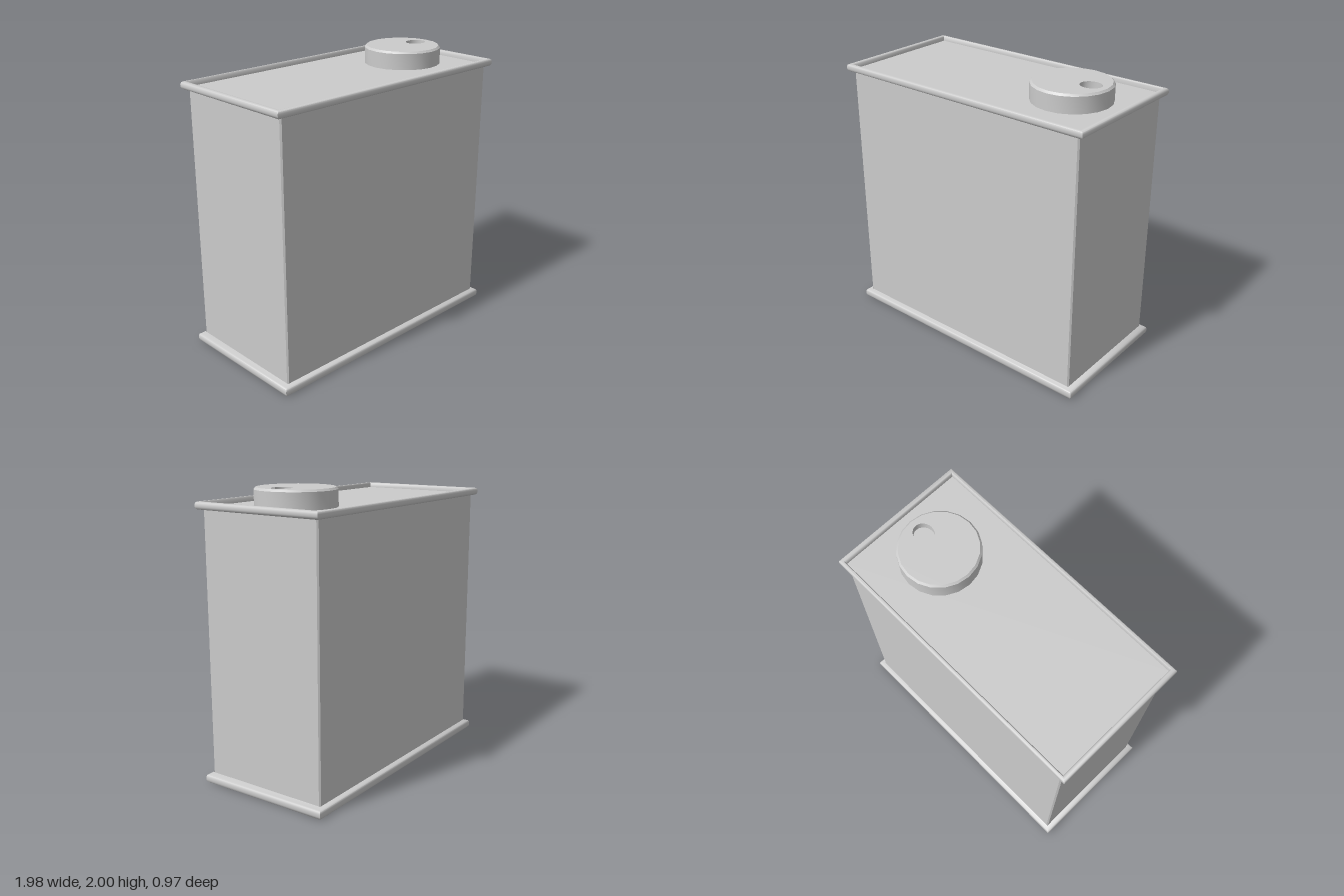
import * as THREE from 'three';
import { toCreasedNormals } from 'three/addons/utils/BufferGeometryUtils.js';

const material = new THREE.MeshStandardMaterial({ color: 0xcccccc, side: THREE.DoubleSide });
const HX = 0.95, HZ = 0.457; // half width and half depth of the can walls

function add(parent, name, geometry) {
  const mesh = new THREE.Mesh(geometry, material);
  mesh.name = name;
  parent.add(mesh);
  return mesh;
}

// Rectangular band with mitred corners; profile rows are [outward 0..1, height]
function rectangularBand(profile) {
  const positions = [];
  const corners = [[1, 1], [1, -1], [-1, -1], [-1, 1]];
  const point = ([out, y], [sx, sz]) => [sx * (HX + 0.042 * out), y, sz * (HZ + 0.03 * out)];
  for (let i = 0; i < profile.length - 1; i++) {
    for (let k = 0; k < 4; k++) {
      const a = point(profile[i], corners[k]);
      const b = point(profile[i], corners[(k + 1) % 4]);
      const c = point(profile[i + 1], corners[(k + 1) % 4]);
      const d = point(profile[i + 1], corners[k]);
      positions.push(...a, ...b, ...c, ...a, ...c, ...d);
    }
  }
  const geometry = new THREE.BufferGeometry();
  geometry.setAttribute('position', new THREE.Float32BufferAttribute(positions, 3));
  return toCreasedNormals(geometry, 0.85);
}

function panel(name, y, parent, up) {
  const mesh = add(parent, name, new THREE.PlaneGeometry(2 * HX + 0.01, 2 * HZ + 0.006));
  mesh.rotation.x = up ? -Math.PI / 2 : Math.PI / 2;
  mesh.position.y = y;
}

export function createModel() {
  const model = new THREE.Group();
  model.name = 'tinCan';

  // Walls with narrow bevelled vertical corners
  const b = 0.01;
  const outline = new THREE.Shape([
    [HX - b, -HZ], [HX, -HZ + b], [HX, HZ - b], [HX - b, HZ],
    [-HX + b, HZ], [-HX, HZ - b], [-HX, -HZ + b], [-HX + b, -HZ],
  ].map(([x, z]) => new THREE.Vector2(x, z)));
  const walls = new THREE.ExtrudeGeometry(outline, { depth: 1.855, bevelEnabled: false });
  walls.rotateX(-Math.PI / 2);
  add(model, 'body', walls).position.y = 0.015;

  // Rolled seams around the base and the top
  add(model, 'bottomSeam', rectangularBand([
    [0.1, 0], [0.65, 0], [0.9, 0.008], [1, 0.022], [1, 0.042], [0.88, 0.054], [0.6, 0.06], [0, 0.07],
  ]));
  add(model, 'topSeam', rectangularBand([
    [0, 1.86], [0.65, 1.86], [0.9, 1.867], [1, 1.878], [1, 1.892],
    [0.9, 1.904], [0.65, 1.91], [0.3, 1.91], [0.1, 1.902], [0.1, 1.872],
  ]));
  panel('topPanel', 1.874, model, true);
  panel('bottomPanel', 0, model, false);

  // Round screw cap with a chamfered edge and a finger hole
  const cap = new THREE.Group();
  cap.name = 'cap';
  cap.position.set(0.575, 1.87, 0);
  model.add(cap);
  const sides = 20, topRadius = 0.257, height = 0.13;
  const side = new THREE.LatheGeometry([
    new THREE.Vector2(0.27, 0), new THREE.Vector2(0.27, height - 0.014),
    new THREE.Vector2(topRadius, height),
  ], sides);
  add(cap, 'capSide', toCreasedNormals(side, 0.5));

  const ring = (r, n) => Array.from({ length: n }, (_, i) => {
    const a = (i / n) * Math.PI * 2;
    return new THREE.Vector2(r * Math.sin(a), r * Math.cos(a));
  });
  const holeX = 0.14, holeScaleX = 0.075, holeScaleZ = 0.066;
  const face = new THREE.Shape(ring(topRadius, sides));
  face.holes.push(new THREE.Path(ring(1, 24).map(
    (p) => new THREE.Vector2(holeX + p.x * holeScaleX, p.y * holeScaleZ))));
  const capTop = add(cap, 'capTop', new THREE.ShapeGeometry(face));
  capTop.rotation.x = -Math.PI / 2;
  capTop.position.y = height;

  // Recess beneath the hole
  const recess = new THREE.LatheGeometry([
    new THREE.Vector2(0, height - 0.05), new THREE.Vector2(1, height - 0.05),
    new THREE.Vector2(1, height),
  ], 24);
  recess.scale(holeScaleX, 1, holeScaleZ);
  add(cap, 'fingerHole', toCreasedNormals(recess, 0.5)).position.x = holeX;

  return model;
}
